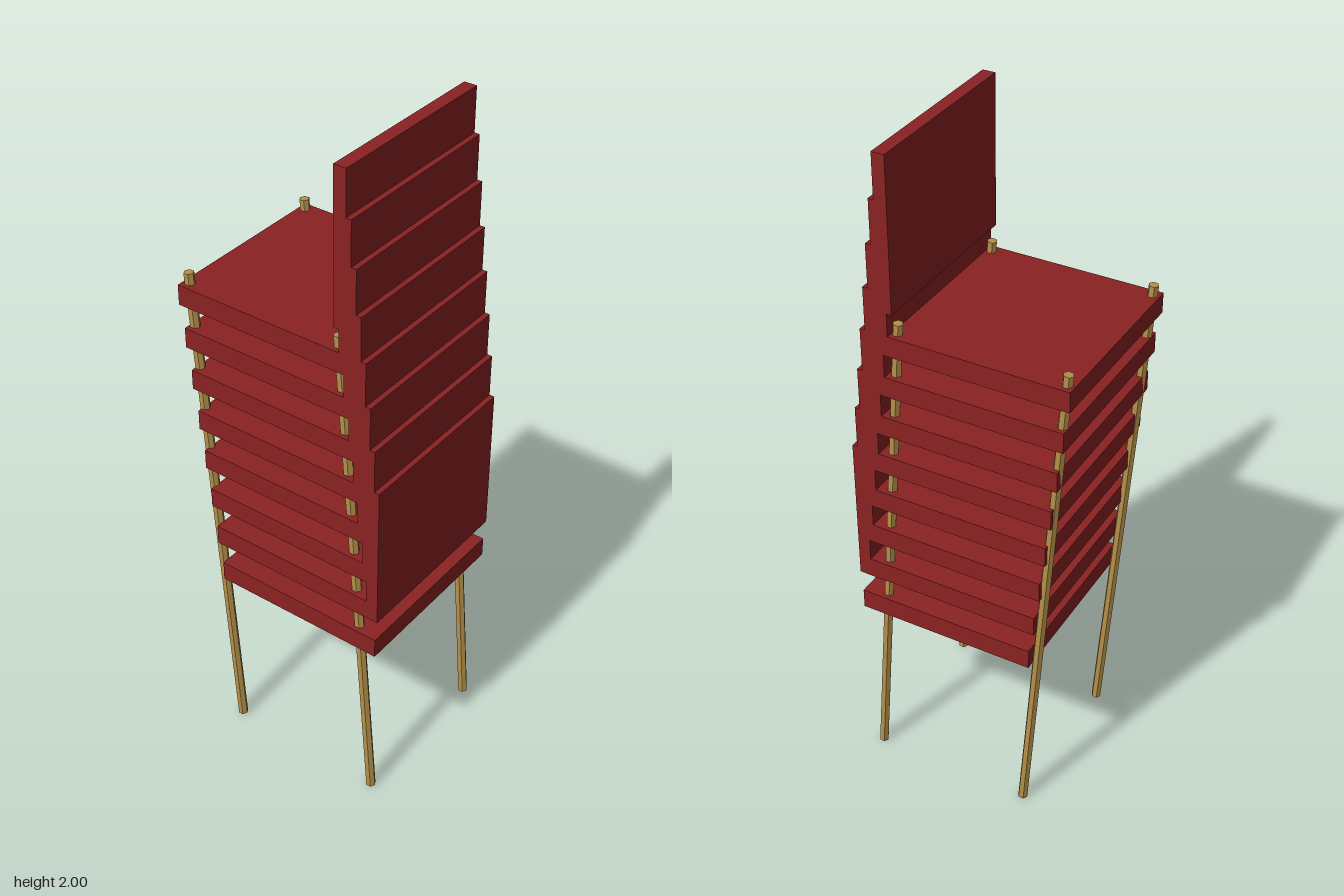
import * as THREE from 'three';

export function createModel() {
  const group = new THREE.Group();
  const red = new THREE.MeshStandardMaterial({ color: 0x8b2222, flatShading: true });
  red.name = 'red panel';
  const brass = new THREE.MeshStandardMaterial({ color: 0xb5914a, flatShading: true });
  brass.name = 'brass leg';

  const add = (name, geometry, material, x, y, z) => {
    const mesh = new THREE.Mesh(geometry, material);
    mesh.name = name;
    mesh.position.set(x, y, z);
    group.add(mesh);
    return mesh;
  };

  // Eight stacked chairs, each stepping up and toward the rear
  const count = 8, rise = 0.1268, shift = 0.0152;
  const width = 0.533;
  const seatGeometry = new THREE.BoxGeometry(width, 0.06, 0.533);
  const backGeometry = new THREE.BoxGeometry(width, 0.44, 0.037);
  for (let i = 0; i < count; i++) {
    add(`seat${i + 1}`, seatGeometry, red, 0, 0.575 + i * rise, 0.0495 - i * shift);
    add(`backrest${i + 1}`, backGeometry, red, 0, 0.8924 + i * rise, 0.3035 - i * shift);
  }

  // Slanted hexagonal legs running through the whole stack
  const height = 1.524, lean = -0.116;
  const legGeometry = new THREE.CylinderGeometry(0.0145, 0.0145, Math.hypot(height, lean), 6);
  for (const [side, x] of [['Left', 0.241], ['Right', -0.241]]) {
    for (const [end, footZ] of [['front', 0.292], ['rear', -0.19]]) {
      const leg = add(`${end}${side}Leg`, legGeometry, brass, x, height / 2 + 0.001, footZ + lean / 2);
      leg.rotation.x = Math.atan2(lean, height);
    }
  }
  return group;
}
